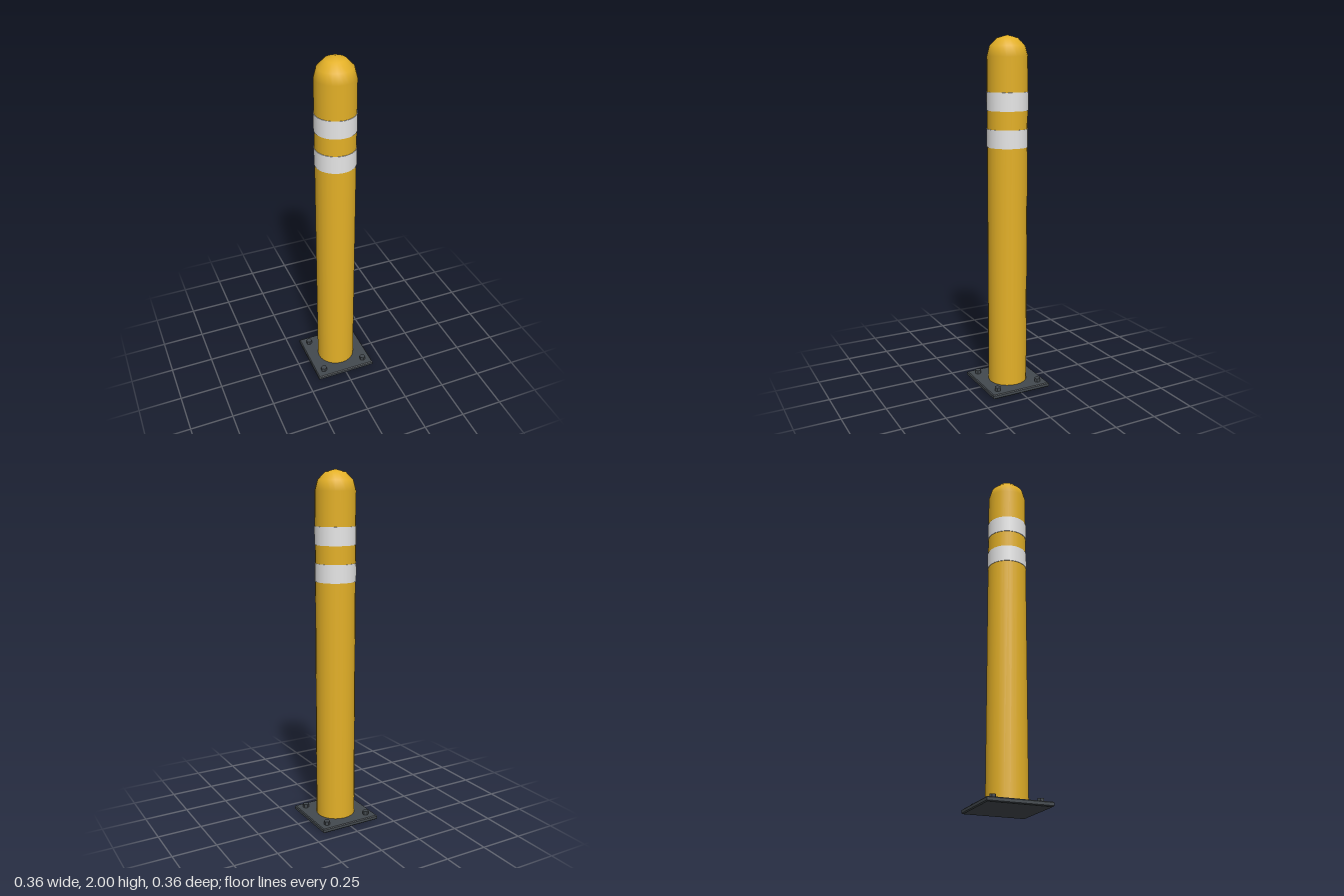
import * as THREE from 'three';

export function createModel() {
  const yellow = new THREE.MeshStandardMaterial({ color: 0xe3b027 });
  const white = new THREE.MeshStandardMaterial({ color: 0xe6e6e6 });
  const steel = new THREE.MeshStandardMaterial({ color: 0x43494e });
  yellow.name = 'safetyYellow';
  white.name = 'reflectiveWhite';
  steel.name = 'darkSteel';

  const SIDES = 24, R = 0.112, PLATE = 0.025, SHOULDER = 2 - R;
  const group = new THREE.Group();
  group.name = 'bollard';
  const add = (name, geometry, material, x = 0, y = 0, z = 0) => {
    const mesh = new THREE.Mesh(geometry, material);
    mesh.name = name;
    mesh.position.set(x, y, z);
    group.add(mesh);
    return mesh;
  };

  // Square base plate with small chamfers on every edge
  const b = 0.005, h = 0.18 - b;
  const outline = new THREE.Shape([
    [-h, -h], [h, -h], [h, h], [-h, h],
  ].map(([x, y]) => new THREE.Vector2(x, y)));
  const plate = new THREE.ExtrudeGeometry(outline, {
    depth: PLATE - 2 * b, bevelEnabled: true, bevelSize: b, bevelThickness: b, bevelSegments: 1,
  });
  plate.rotateX(-Math.PI / 2);
  add('basePlate', plate, steel, 0, b, 0);

  // Hexagonal anchor bolts at the corners
  const bolt = new THREE.CylinderGeometry(0.018, 0.018, 0.022, 6).toNonIndexed();
  bolt.computeVertexNormals();
  for (const x of [-0.13, 0.13]) {
    for (const z of [-0.13, 0.13]) add('anchorBolt', bolt, steel, x, PLATE + 0.01, z);
  }

  // Post and its rounded cap
  const postHeight = SHOULDER - PLATE;
  add('post', new THREE.CylinderGeometry(R, R, postHeight, SIDES, 1, true), yellow, 0, PLATE + postHeight / 2, 0);
  add('domeCap', new THREE.SphereGeometry(R, SIDES, 3, 0, Math.PI * 2, 0, Math.PI / 2), yellow, 0, SHOULDER, 0)
    .rotation.y = Math.PI / 2;

  // Two reflective bands
  for (const y of [1.45, 1.65]) {
    add('reflectiveBand', new THREE.CylinderGeometry(0.115, 0.115, 0.1, SIDES), white, 0, y, 0);
  }
  return group;
}
